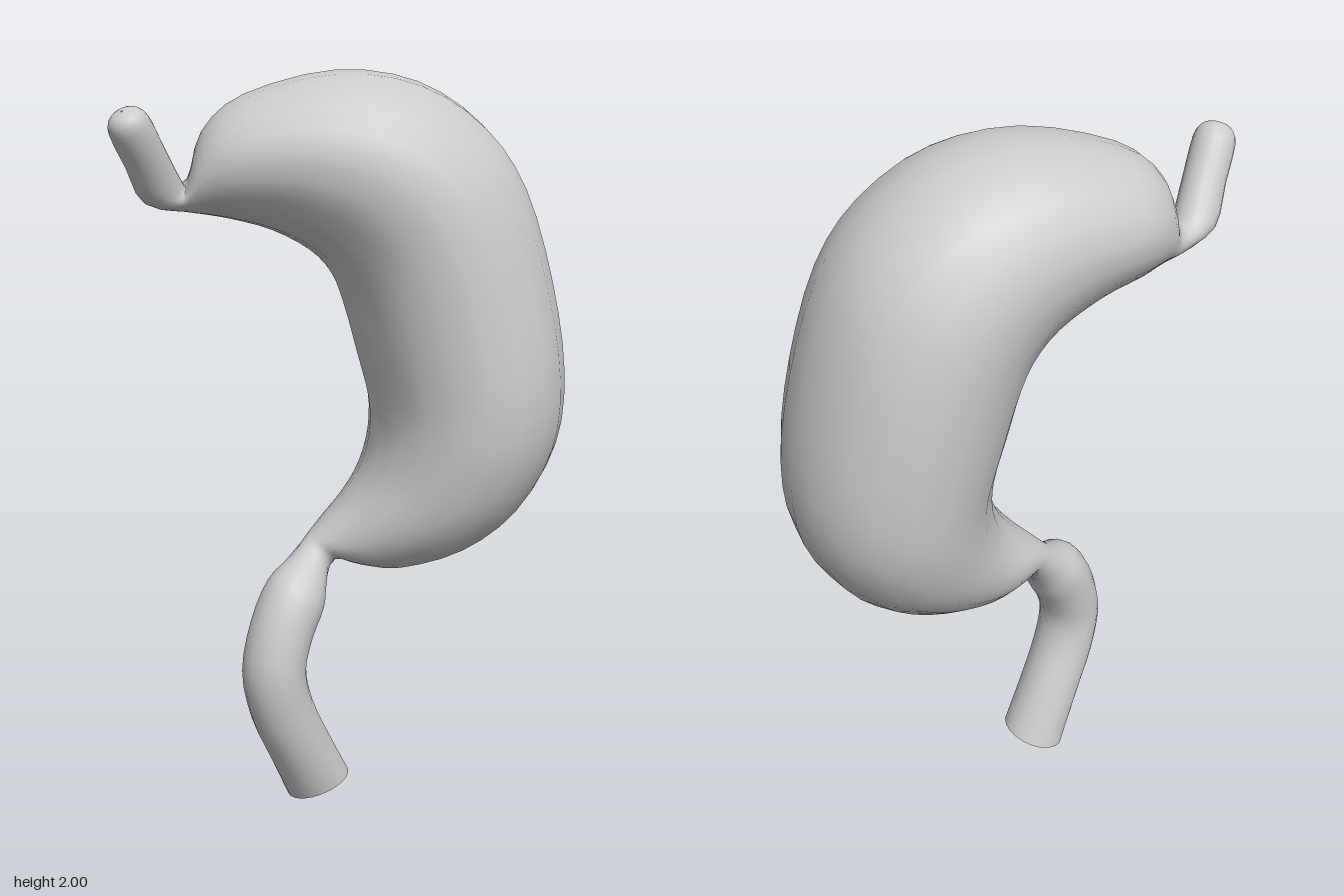
import * as THREE from 'three';

const SIDES = 20, STEPS = 3;
const V = (x, y, z) => new THREE.Vector3(x, y, z);

// The sac bends inside an upright plane turned about y
const TURN = 0.61, C = Math.cos(TURN), S = Math.sin(TURN);
const inPlane = (s, y, t) => V(s * C - t * S, y, s * S + t * C);

// Sac ring: outer point (s, y), inner point (s, y), sideways offset, half width
function sacRing([so, yo, si, yi, t, w]) {
  return {
    c: inPlane((so + si) / 2, (yo + yi) / 2, t),
    u: inPlane((so - si) / 2, (yo - yi) / 2, 0),
    v: inPlane(0, 0, w),
  };
}

// Inlet tube ring: centre and radius
function inletRing([x, y, z, r]) {
  return { c: V(x, y, z), u: V(0.8, 0.58, -0.2).multiplyScalar(r), v: V(0.24, 0, 0.97).multiplyScalar(r) };
}

// Outlet tube ring: centre x, y, z, radius across, tilt angle, depth radius, end lift
function outletRing([x, y, z, r, a, d, lift = 0]) {
  return { c: V(x, y, z), u: V(r * Math.cos(a), r * Math.sin(a), 0), v: V(0, lift, d) };
}

const inlet = [
  [-0.573, 1.904, -0.266, 0.002], [-0.567, 1.896, -0.268, 0.035], [-0.546, 1.868, -0.275, 0.054],
  [-0.49, 1.79, -0.292, 0.055], [-0.422, 1.70, -0.314, 0.056],
].map(inletRing);

const sac = [
  [-0.46, 1.73, -0.47, 1.645, -0.045, 0.075],
  [-0.42, 1.85, -0.41, 1.635, -0.055, 0.13],
  [-0.31, 1.94, -0.34, 1.62, -0.07, 0.19],
  [-0.07, 2.00, -0.24, 1.59, -0.08, 0.245],
  [0.15, 1.97, -0.14, 1.535, -0.09, 0.285],
  [0.325, 1.86, -0.08, 1.47, -0.10, 0.31],
  [0.44, 1.70, -0.045, 1.38, -0.105, 0.322],
  [0.52, 1.45, -0.01, 1.25, -0.105, 0.328],
  [0.56, 1.20, 0.022, 1.12, -0.10, 0.328],
  [0.54, 1.00, 0.02, 1.02, -0.09, 0.31],
  [0.44, 0.82, -0.01, 0.93, -0.075, 0.262],
  [0.29, 0.705, -0.06, 0.86, -0.06, 0.20],
  [0.11, 0.655, -0.11, 0.81, -0.05, 0.135],
  [-0.01, 0.67, -0.14, 0.78, -0.04, 0.09],
  [-0.085, 0.69, -0.165, 0.755, -0.03, 0.06],
].map(sacRing);

const outlet = [
  [-0.145, 0.665, -0.09, 0.065, -0.8, 0.065],
  [-0.195, 0.615, -0.08, 0.086, -0.65, 0.087],
  [-0.245, 0.53, -0.08, 0.087, -0.38, 0.089],
  [-0.275, 0.42, -0.08, 0.086, 0, 0.089],
  [-0.25, 0.30, -0.08, 0.086, 0.33, 0.089],
  [-0.19, 0.175, -0.08, 0.087, 0.42, 0.089],
  [-0.117, 0.033, -0.08, 0.088, 0.29, 0.089, 0.02],
].map(outletRing);

export function createModel() {
  const group = new THREE.Group();
  const rings = [...inlet, ...sac, ...outlet];
  const curve = (k) => new THREE.CatmullRomCurve3(rings.map((r) => r[k]), false, 'catmullrom', 0.5);
  const centre = curve('c'), across = curve('u'), side = curve('v');
  const total = (rings.length - 1) * STEPS;

  // One smooth skin swept through every ring
  const pos = [];
  for (let i = 0; i <= total; i++) {
    const t = i / total;
    const c = centre.getPoint(t), u = across.getPoint(t), v = side.getPoint(t);
    for (let j = 0; j < SIDES; j++) {
      const a = (j / SIDES) * Math.PI * 2;
      const p = c.clone().addScaledVector(u, Math.cos(a)).addScaledVector(v, Math.sin(a));
      pos.push(p.x, p.y, p.z);
    }
  }
  const faces = (from, to) => {
    const index = [];
    for (let i = from; i < to; i++) {
      for (let j = 0; j < SIDES; j++) {
        const k = (j + 1) % SIDES;
        const a = i * SIDES + j, b = i * SIDES + k;
        index.push(a, b, a + SIDES, b, b + SIDES, a + SIDES);
      }
    }
    return index;
  };
  const skin = new THREE.BufferGeometry();
  skin.setAttribute('position', new THREE.Float32BufferAttribute(pos, 3));
  skin.setIndex(faces(0, total));
  skin.computeVertexNormals();

  // Parts share the skin's normals so the joins stay smooth
  const material = new THREE.MeshStandardMaterial({ color: 0xcccccc, side: THREE.DoubleSide });
  const sacStart = inlet.length * STEPS, sacEnd = (inlet.length + sac.length - 1) * STEPS;
  const parts = [['inletTube', 0, sacStart], ['stomachSac', sacStart, sacEnd], ['outletTube', sacEnd, total]];
  for (const [name, from, to] of parts) {
    const geometry = new THREE.BufferGeometry();
    geometry.setAttribute('position', skin.attributes.position);
    geometry.setAttribute('normal', skin.attributes.normal);
    geometry.setIndex(faces(from, to));
    const mesh = new THREE.Mesh(geometry, material);
    mesh.name = name;
    group.add(mesh);
  }
  return group;
}
